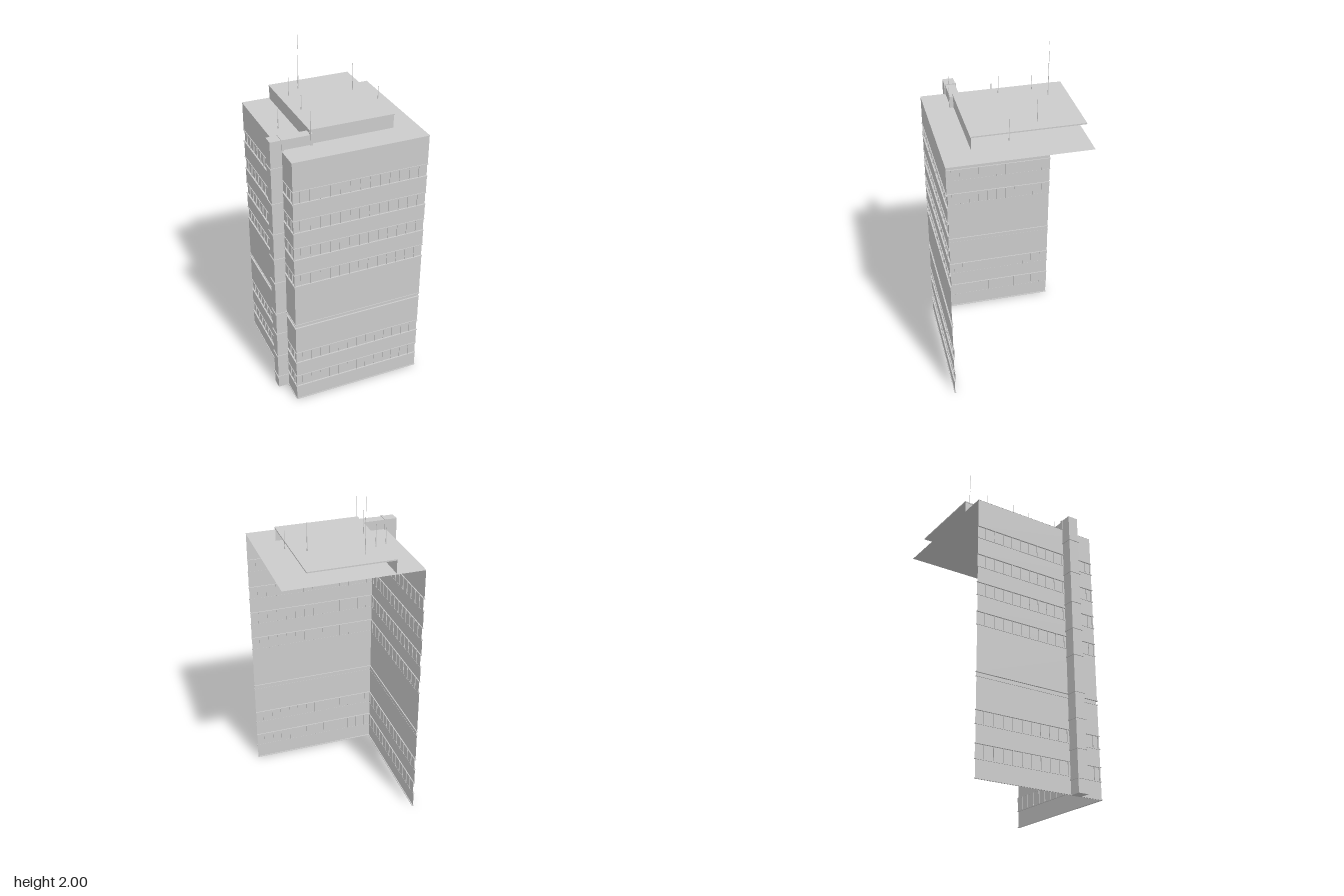
import * as THREE from 'three';

const mat = new THREE.MeshStandardMaterial({ color: 0xcccccc, side: THREE.DoubleSide, flatShading: true });

// Plan limits of the two street walls
const X0 = -0.36, X1 = 0.423, Z0 = -0.392, Z1 = 0.392;

export function createModel() {
  const model = new THREE.Group();
  const add = (name, geo, x, y, z, parent = model) => {
    const m = new THREE.Mesh(geo, mat);
    m.name = name;
    m.position.set(x, y, z);
    parent.add(m);
    return m;
  };
  // Box given by its limits
  const box = (name, xa, xb, ya, yb, za, zb, parent) =>
    add(name, new THREE.BoxGeometry(xb - xa, yb - ya, zb - za), (xa + xb) / 2, (ya + yb) / 2, (za + zb) / 2, parent);
  // Open corner of two sheets: one facing front, one facing -x
  const corner = (name, xa, xb, ya, yb, za, zb, parent) => {
    const y = (ya + yb) / 2;
    add(name + 'Front', new THREE.PlaneGeometry(xb - xa, yb - ya), (xa + xb) / 2, y, zb, parent);
    add(name + 'Side', new THREE.PlaneGeometry(zb - za, yb - ya), xa, y, (za + zb) / 2, parent).rotation.y = -Math.PI / 2;
  };
  // Thin ledge running along both walls
  const ledge = (y, parent) => {
    box('ledgeFront', X0 - 0.004, X1 + 0.002, y - 0.002, y + 0.002, Z1 - 0.006, Z1 + 0.004, parent);
    box('ledgeSide', X0 - 0.004, X0 + 0.006, y - 0.002, y + 0.002, Z0 - 0.002, Z1 - 0.006, parent);
  };

  // Facade: solid bands between recessed strips
  const facade = new THREE.Group();
  facade.name = 'facade';
  model.add(facade);
  const windows = [[0.1, 0.18], [0.28, 0.355], [0.828, 0.905], [1.003, 1.08], [1.175, 1.252], [1.355, 1.43]];
  const strips = [...windows, [0.535, 0.56]].sort((a, b) => a[0] - b[0]);
  let y = 0;
  for (const [a, b] of strips) {
    corner('wall', X0, X1, y, a, Z0, Z1, facade);
    corner('recess', X0 + 0.005, X1, a, b, Z0, Z1 - 0.005, facade);
    ledge(a, facade);
    ledge(b, facade);
    y = b;
  }
  corner('wall', X0, X1, y, 1.6, Z0, Z1, facade);
  ledge(0.003, facade);

  // Window mullions at a regular spacing on both walls
  const step = 0.0578, w = 0.002;
  for (const [a, b] of windows) {
    for (let z = 0.353; z > Z0; z -= step)
      box('mullionSide', X0, X0 + 0.009, a, b, z - w, z + w, facade);
    for (let x = X0 + 0.04; x < X1; x += step)
      box('mullionFront', x - w, x + w, a, b, Z1 - 0.009, Z1, facade);
    box('mullionCorner', X0, X0 + 0.007, a, b, Z1 - 0.007, Z1, facade);
  }

  // Main roof sheet
  add('roof', new THREE.PlaneGeometry(X1 - X0 + 0.004, Z1 - Z0 + 0.002), (X0 + X1) / 2, 1.6, 0).rotation.x = -Math.PI / 2;

  // Rooftop plant room, open at the back and +x side
  corner('plantRoomWall', -0.198, 0.288, 1.6, 1.678, -0.383, 0.233);
  box('plantRoomRoof', -0.201, 0.292, 1.676, 1.683, -0.386, 0.237);

  // Square duct up the side and across the roof
  const duct = new THREE.Group();
  duct.name = 'duct';
  model.add(duct);
  box('ductRiser', -0.425, X0, 0, 1.662, 0.19, 0.252, duct);
  box('ductRun', X0, -0.198, 1.603, 1.66, 0.193, 0.249, duct);
  box('ductFlange', -0.363, -0.35, 1.6, 1.665, 0.187, 0.255, duct);
  for (const c of [0.08, 0.24, 0.408, 0.557, 0.775, 0.935, 1.1, 1.292, 1.505])
    box('ductCollar', -0.43, X0, c - 0.004, c + 0.004, 0.186, 0.256, duct);

  // Antennas: x, z, base height, tip height
  const antennas = [
    [-0.062, -0.274, 1.683, 2.0], [-0.147, -0.204, 1.683, 1.82], [0.213, -0.138, 1.683, 1.845],
    [-0.147, -0.012, 1.683, 1.82], [-0.285, -0.003, 1.6, 1.72], [0.29, 0.032, 1.635, 1.76],
    [-0.202, 0.255, 1.55, 1.8],
  ];
  for (const [x, z, a, b] of antennas) {
    const g = new THREE.Group();
    g.name = 'antenna';
    g.position.set(x, a, z);
    model.add(g);
    const h = b - a;
    add('antennaFoot', new THREE.CylinderGeometry(0.003, 0.003, 0.014, 8), 0, 0.007, 0, g);
    add('antennaMast', new THREE.CylinderGeometry(0.0015, 0.002, h * 0.6, 6), 0, h * 0.3, 0, g);
    add('antennaTip', new THREE.CylinderGeometry(0.0006, 0.0012, h * 0.4, 6), 0, h * 0.8, 0, g);
  }
  // Bracket holding the corner antenna
  box('antennaBracket', -0.201, -0.189, 1.6, 1.668, 0.234, 0.254);

  return model;
}
